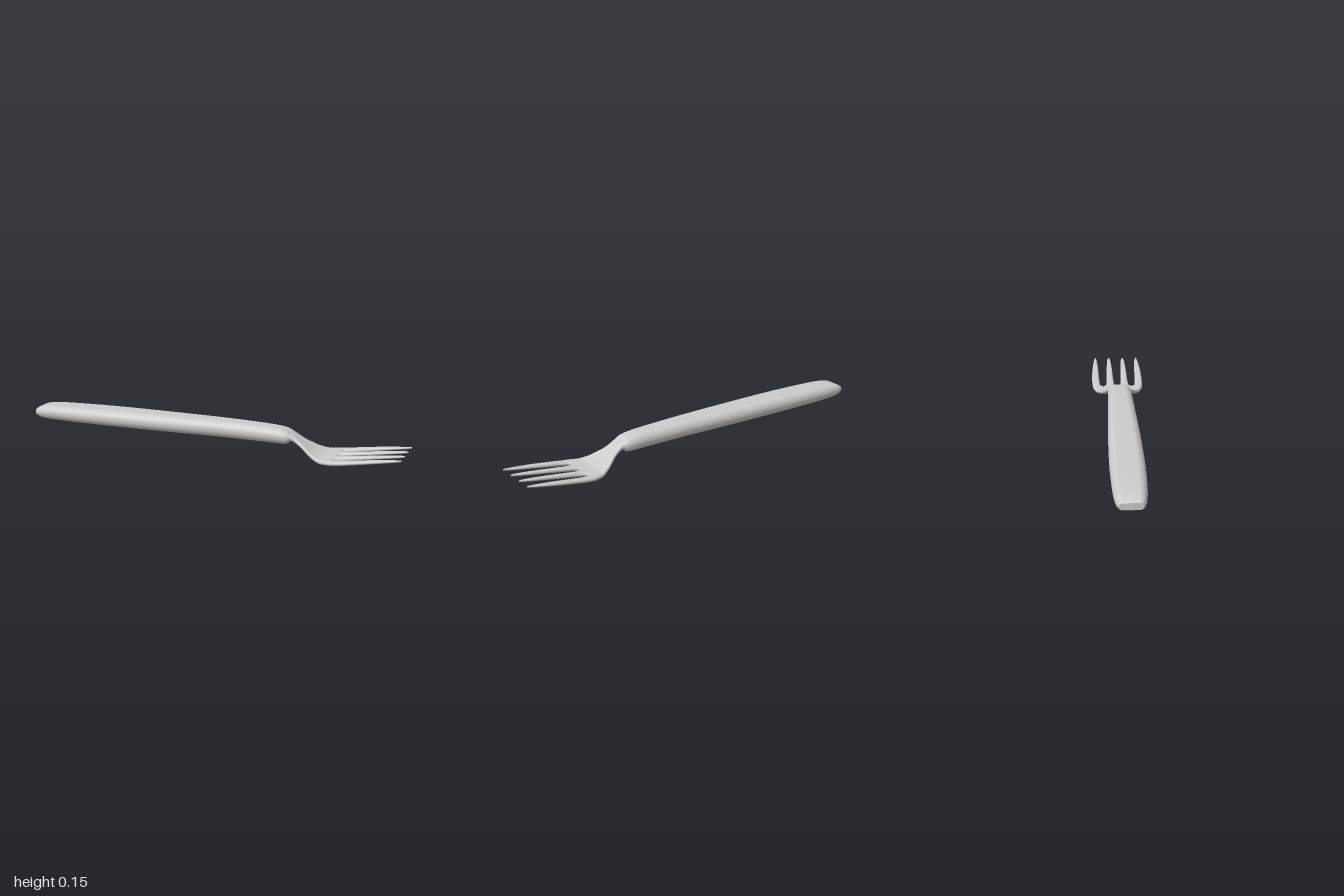
import * as THREE from 'three';
import { mergeVertices } from 'three/addons/utils/BufferGeometryUtils.js';

// Smooth, non-overshooting curve y(x) through a few points
function profile(pts) {
  const n = pts.length;
  const slope = (i) => (pts[i + 1][1] - pts[i][1]) / (pts[i + 1][0] - pts[i][0]);
  const tan = pts.map((p, i) => {
    if (i === 0) return slope(0);
    if (i === n - 1) return slope(n - 2);
    const a = slope(i - 1), b = slope(i);
    return a * b <= 0 ? 0 : (2 * a * b) / (a + b);
  });
  return (x) => {
    let i = 0;
    while (i < n - 2 && x > pts[i + 1][0]) i++;
    const w = pts[i + 1][0] - pts[i][0];
    const t = Math.min(1, Math.max(0, (x - pts[i][0]) / w));
    const t2 = t * t, t3 = t2 * t;
    return (2 * t3 - 3 * t2 + 1) * pts[i][1] + (t3 - 2 * t2 + t) * w * tan[i]
      + (3 * t2 - 2 * t3) * pts[i + 1][1] + (t3 - t2) * w * tan[i + 1];
  };
}

function indexed(pos, idx) {
  const g = new THREE.BufferGeometry();
  g.setAttribute('position', new THREE.Float32BufferAttribute(pos, 3));
  g.setIndex(idx);
  return g;
}

// Handle: stadium-shaped sections lofted along x
function handleGeometry() {
  const width = profile([[-1, 0.055], [-0.985, 0.063], [-0.95, 0.071], [-0.85, 0.079], [-0.6, 0.084],
    [-0.3, 0.081], [0.1, 0.07], [0.36, 0.062], [0.4, 0.058], [0.425, 0.046]]);
  const top = profile([[-1, 0.116], [-0.985, 0.126], [-0.95, 0.135], [-0.85, 0.142], [-0.4, 0.148],
    [0, 0.148], [0.3, 0.142], [0.38, 0.134], [0.41, 0.123], [0.425, 0.112]]);
  const bottom = profile([[-1, 0.083], [-0.985, 0.074], [-0.95, 0.067], [-0.85, 0.064], [-0.4, 0.063],
    [0, 0.064], [0.3, 0.061], [0.39, 0.06], [0.41, 0.067], [0.425, 0.082]]);
  const xs = [-1, -0.995, -0.985, -0.97, -0.95, -0.92, -0.88];
  for (let x = -0.8; x < 0.35; x += 0.08) xs.push(x);
  xs.push(0.36, 0.38, 0.395, 0.405, 0.415, 0.425);
  // each station: x and scale; repeated ends give flat caps with crisp rims
  const stations = [[-1, 0], [-1, 1], ...xs.map((x) => [x, 1]), [0.425, 1], [0.425, 0]];
  const n = 36, pos = [], idx = [];
  stations.forEach(([x, s], i) => {
    const w = width(x), h = (top(x) - bottom(x)) / 2, y = (top(x) + bottom(x)) / 2;
    const r = Math.min(w, h);
    for (let j = 0; j < n; j++) {
      const a = ((j + 0.5) / n) * Math.PI * 2;
      pos.push(x, y + s * h * Math.sin(a), s * (Math.sign(Math.cos(a)) * (w - r) + r * Math.cos(a)));
      if (i === 0) continue;
      const k = (j + 1) % n, p = (i - 1) * n, q = i * n;
      idx.push(p + j, q + j, p + k, p + k, q + j, q + k);
    }
  });
  const g = indexed(pos, idx);
  g.computeVertexNormals();
  return g;
}

// Neck, palm and tines: four strips side by side that part at the slots
function headGeometry() {
  const root = 0.65, slotZ = 0.08;
  const outer = profile([[0.4, 0.05], [0.44, 0.046], [0.47, 0.052], [0.53, 0.086], [0.6, 0.124],
    [0.65, 0.138], [0.73, 0.142], [0.82, 0.14], [0.92, 0.133], [1, 0.124]]);
  const gap = profile([[root, 0], [0.653, 0.007], [0.66, 0.012], [0.68, 0.017], [0.74, 0.021],
    [0.85, 0.024], [0.95, 0.029], [1, 0.034]]);
  const mid = profile([[0.4, 0.104], [0.43, 0.095], [0.46, 0.078], [0.5, 0.054], [0.55, 0.026],
    [0.6, 0.013], [0.65, 0.015], [0.75, 0.028], [0.85, 0.043], [1, 0.064]]);
  const half = profile([[0.4, 0.02], [0.45, 0.015], [0.5, 0.011], [0.6, 0.011], [0.8, 0.009], [1, 0.005]]);

  const rows = [];
  for (let i = 0; i < 24; i++) rows.push(0.4 + (0.23 * i) / 24);
  for (let i = 0; i < 6; i++) rows.push(0.63 + (0.02 * i) / 6);
  for (let i = 0; i <= 28; i++) rows.push(root + (1 - root) * (i / 28) ** 2);
  rows.push(0.985, 0.993, 0.998);
  rows.sort((a, b) => a - b);

  const cols = 14, pos = [], idx = [];
  for (let strip = 0; strip < 4; strip++) {
    for (const side of [1, -1]) {
      const base = pos.length / 3;
      rows.forEach((x, i) => {
        const o = outer(x), s = x < root ? (slotZ / outer(root)) * o : slotZ;
        const g = x < root ? 0 : gap(x), h = half(x);
        const bounds = [-o, -s, 0, s, o];
        let z0 = bounds[strip] + (strip > 0 ? g : 0);
        let z1 = bounds[strip + 1] - (strip < 3 ? g : 0);
        // rounded tine tips
        const c = (z0 + z1) / 2, tip = Math.sqrt(Math.min(1, Math.max(0, 1 - x) / 0.02));
        z0 = c + (z0 - c) * tip;
        z1 = c + (z1 - c) * tip;
        for (let j = 0; j <= cols; j++) {
          const z = c - ((z1 - z0) / 2) * Math.cos((Math.PI * j) / cols);
          // thickness rolls off towards the nearest free edge
          const back = Math.max(0, root - x);
          const d0 = strip > 0 ? Math.hypot(back, z - z0) : z - z0;
          const d1 = strip < 3 ? Math.hypot(back, z1 - z) : z1 - z;
          const e = Math.min(1, Math.max(0, Math.min(d0, d1)) / (h * 1.2));
          pos.push(x, mid(x) + side * h * Math.sqrt(Math.max(0, 1 - (1 - e) ** 2)), z);
          if (i === 0 || j === 0) continue;
          const d = base + i * (cols + 1) + j, b = d - cols - 1, a = b - 1, cc = d - 1;
          if (side > 0) idx.push(a, b, cc, b, d, cc);
          else idx.push(a, cc, b, b, cc, d);
        }
      });
    }
  }
  const g = mergeVertices(indexed(pos, idx), 1e-5);
  g.computeVertexNormals();
  return g;
}

export function createModel() {
  const group = new THREE.Group();
  group.name = 'fork';
  const material = new THREE.MeshStandardMaterial({ color: 0xcccccc });
  const add = (name, geometry) => {
    const mesh = new THREE.Mesh(geometry, material);
    mesh.name = name;
    group.add(mesh);
  };
  add('handle', handleGeometry());
  add('neckAndTines', headGeometry());
  return group;
}
